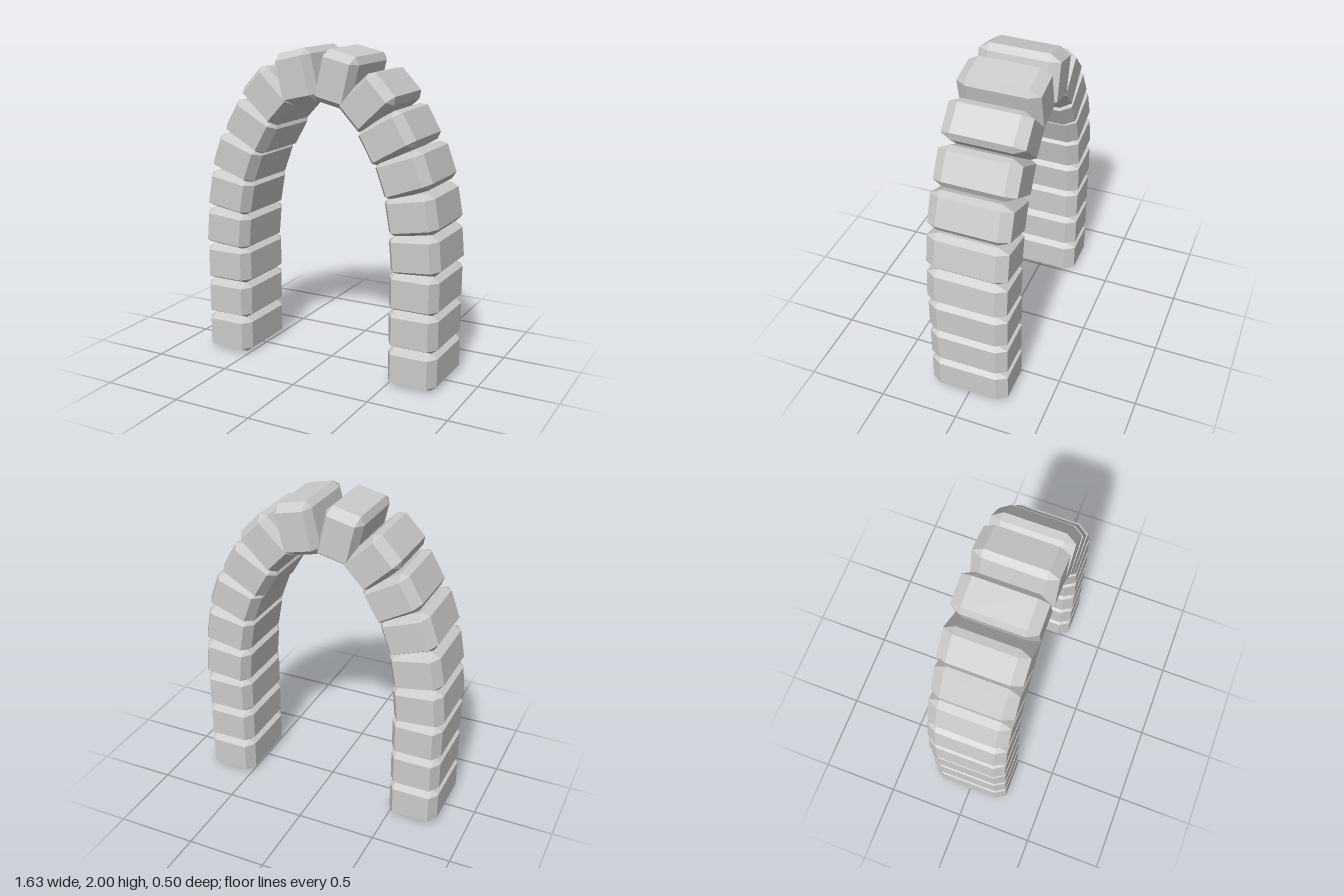
import * as THREE from 'three';
import { ConvexGeometry } from 'three/addons/geometries/ConvexGeometry.js';

// Block whose edges and corners are chamfered in proportion to each dimension
function chamferedBlock(w, h, d, bevel) {
  const inner = 0.5 - bevel;
  const points = [];
  for (const sx of [-1, 1]) for (const sy of [-1, 1]) for (const sz of [-1, 1]) {
    for (let axis = 0; axis < 3; axis++) {
      const r = [inner, inner, inner];
      r[axis] = 0.5;
      points.push(new THREE.Vector3(sx * r[0] * w, sy * r[1] * h, sz * r[2] * d));
    }
  }
  return new ConvexGeometry(points);
}

export function createModel() {
  const arch = new THREE.Group();
  arch.name = 'stoneArch';
  const material = new THREE.MeshStandardMaterial({ color: 0xcccccc, flatShading: true });
  const geometry = chamferedBlock(0.32, 0.24, 0.505, 0.13);

  // Stones of one side from the ground to the crown: x, y, tilt in degrees
  const stones = [
    [0.648, 0.12, 0], [0.648, 0.357, 0], [0.648, 0.594, 0],
    [0.648, 0.828, 5], [0.624, 1.066, 10], [0.569, 1.296, 20],
    [0.46, 1.503, 30], [0.331, 1.7, 43.5], [0.134, 1.824, 77],
  ];

  // Both sides mirror each other
  for (const side of [1, -1]) {
    const half = new THREE.Group();
    half.name = side > 0 ? 'leftHalf' : 'rightHalf';
    stones.forEach(([x, y, tilt], i) => {
      const stone = new THREE.Mesh(geometry, material);
      stone.name = i < 3 ? `pillarStone${i + 1}` : `archStone${i - 2}`;
      stone.position.set(side * x, y, 0);
      stone.rotation.z = side * THREE.MathUtils.degToRad(tilt);
      half.add(stone);
    });
    arch.add(half);
  }
  return arch;
}
